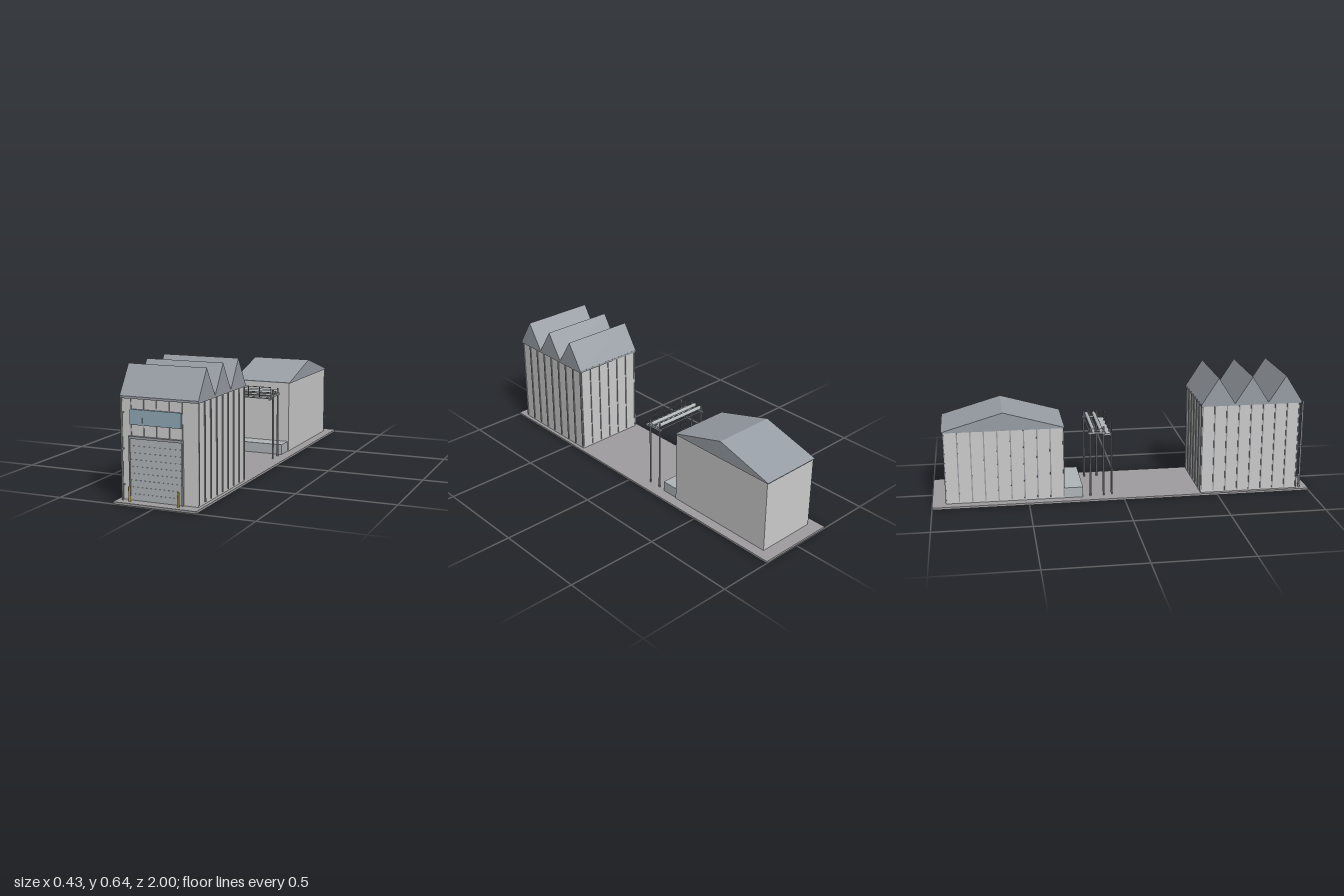
import * as THREE from 'three';

const mat = (color) => new THREE.MeshStandardMaterial({ color, flatShading: true });
const WALL = mat(0xcccccc), ROOF = mat(0x989ea5), METAL = mat(0xb0b6b8), TRIM = mat(0x9a9ca0);
const GROUND = mat(0x9e9c9e), GLASS = mat(0x90a8b4), YELLOW = mat(0xe0b84a);
const G = 0.011; // top of the ground slab

function add(parent, name, geometry, material) {
  const mesh = new THREE.Mesh(geometry, material);
  mesh.name = name;
  parent.add(mesh);
  return mesh;
}

// Box given by its limits on each axis
function box(parent, name, x0, x1, y0, y1, z0, z1, material) {
  const m = add(parent, name, new THREE.BoxGeometry(x1 - x0, y1 - y0, z1 - z0), material);
  m.position.set((x0 + x1) / 2, (y0 + y1) / 2, (z0 + z1) / 2);
  return m;
}

// Round bar between two points
function bar(parent, name, a, b, r, material, sides = 10) {
  const p = new THREE.Vector3(...a), q = new THREE.Vector3(...b);
  const m = add(parent, name, new THREE.CylinderGeometry(r, r, p.distanceTo(q), sides), material);
  m.position.copy(p).add(q).multiplyScalar(0.5);
  m.quaternion.setFromUnitVectors(new THREE.Vector3(0, 1, 0), q.sub(p).normalize());
  return m;
}

// Roof profile of [z, y] points extruded along x
function roof(parent, name, x0, x1, profile) {
  const shape = new THREE.Shape(profile.map(([z, y]) => new THREE.Vector2(-z, y)));
  const geo = new THREE.ExtrudeGeometry(shape, { depth: x1 - x0, bevelEnabled: false });
  geo.rotateY(Math.PI / 2).translate(x0, 0, 0);
  return add(parent, name, geo, ROOF);
}

function group(parent, name) {
  const g = new THREE.Group();
  g.name = name;
  parent.add(g);
  return g;
}

function buildWorkshop(root) {
  const g = group(root, 'workshop');
  const back = 0.41, front = 0.935, top = 0.49;
  box(g, 'workshopWalls', -0.194, 0.194, G, top, back, front, WALL);
  box(g, 'eavesBand', -0.2, 0.2, 0.488, 0.499, 0.404, 0.942, ROOF);

  // Three-ridged roof
  const profile = [[0.404, 0.498]];
  const pitch = (0.942 - 0.404) / 3;
  for (let i = 0; i < 3; i++) {
    profile.push([0.404 + pitch * (i + 0.5), 0.638], [0.404 + pitch * (i + 1), 0.498]);
  }
  roof(g, 'sawRoof', -0.2, 0.2, profile);

  // Wall ribs on both sides, the back and above the door
  for (let i = 0; i <= 8; i++) {
    const z = back + 0.003 + (front - back - 0.006) * i / 8;
    for (const s of [-1, 1]) {
      const x = s * 0.196;
      box(g, 'sideRib', x - 0.003, x + 0.003, 0.02, top, z - 0.003, z + 0.003, TRIM);
    }
  }
  for (let i = 0; i <= 6; i++) {
    const x = -0.19 + 0.38 * i / 6;
    box(g, 'backRib', x - 0.003, x + 0.003, 0.02, top, back - 0.004, back + 0.002, TRIM);
  }
  for (let i = 0; i < 5; i++) {
    const x = -0.145 + 0.0653 * i;
    box(g, 'frontRib', x - 0.002, x + 0.002, 0.31, top, front - 0.002, front + 0.004, TRIM);
  }

  // Window strip of four panes
  for (let i = 0; i < 4; i++) {
    const x = -0.148 + 0.0658 * i;
    box(g, 'windowPane', x, x + 0.0653, 0.368, 0.44, front, front + 0.009, GLASS);
  }

  // Sectional door with frame
  for (let i = 0; i < 9; i++) {
    const y = G + 0.0005 + 0.0324 * i;
    box(g, 'doorPanel', -0.149, 0.115, y, y + 0.0314, front, front + 0.007, METAL);
  }
  box(g, 'doorBacking', -0.149, 0.115, G, 0.304, front, front + 0.005, TRIM);
  box(g, 'doorHeader', -0.155, 0.121, 0.303, 0.315, front, front + 0.014, TRIM);
  box(g, 'doorJamb', -0.155, -0.149, G, 0.303, front, front + 0.012, TRIM);
  box(g, 'doorJamb', 0.115, 0.121, G, 0.303, front, front + 0.012, TRIM);

  // Bollards and downpipe
  for (const x of [-0.143, 0.108]) bar(g, 'bollard', [x, G, 0.967], [x, 0.082, 0.967], 0.0055, YELLOW, 12);
  bar(g, 'downpipe', [-0.185, G, 0.955], [-0.185, 0.494, 0.955], 0.005, METAL);
  for (const y of [0.08, 0.25, 0.42]) box(g, 'pipeBracket', -0.188, -0.182, y, y + 0.005, front, 0.953, TRIM);
}

function buildWarehouse(root) {
  const g = group(root, 'warehouse');
  const back = -0.93, front = -0.312;
  box(g, 'warehouseWalls', -0.165, 0.16, G, 0.4, back, front, WALL);
  roof(g, 'gableRoof', -0.17, 0.165, [[-0.938, 0.396], [-0.938, 0.4], [-0.623, 0.491], [-0.307, 0.4], [-0.307, 0.396]]);
  // Ribs on the right wall only
  for (let i = 0; i <= 9; i++) {
    const z = back + 0.003 + (front - back - 0.006) * i / 9;
    box(g, 'wallRib', -0.169, -0.163, 0.02, 0.398, z - 0.003, z + 0.003, TRIM);
  }
  box(g, 'loadingDock', -0.165, 0.155, G, 0.066, front, -0.215, METAL);
}

function buildPipeBridge(root) {
  const g = group(root, 'pipeBridge');
  const xs = [-0.152, 0.147], zs = [-0.104, -0.174];
  // Portal frames
  for (const x of xs) {
    for (const z of zs) bar(g, 'post', [x, G, z], [x, 0.39, z], 0.005, TRIM);
    box(g, 'crossBeam', x - 0.006, x + 0.006, 0.352, 0.363, -0.184, -0.094, TRIM);
    box(g, 'walkwayBracket', x * 0.95 - 0.004, x * 0.95 + 0.004, 0.338, 0.345, -0.104, -0.065, TRIM);
  }
  for (const z of zs) bar(g, 'longBeam', [xs[0], 0.357, z], [xs[1], 0.357, z], 0.004, TRIM);
  // Pipes resting on the beams
  for (const z of [-0.118, -0.158]) bar(g, 'pipe', [-0.16, 0.373, z], [0.155, 0.373, z], 0.01, METAL, 16);

  // Walkway with railing
  box(g, 'walkway', -0.15, 0.147, 0.345, 0.35, -0.104, -0.066, METAL);
  for (let i = 0; i < 5; i++) {
    const x = -0.112 + 0.0645 * i;
    bar(g, 'railPost', [x, 0.348, -0.07], [x, 0.408, -0.07], 0.002, TRIM, 6);
  }
  for (const y of [0.38, 0.408]) bar(g, 'rail', [-0.114, y, -0.07], [0.148, y, -0.07], 0.002, TRIM, 6);

  // Ladder
  for (const x of [-0.148, -0.115]) bar(g, 'ladderRail', [x, G, -0.06], [x, 0.408, -0.06], 0.003, TRIM, 6);
  for (let y = 0.04; y < 0.36; y += 0.028) bar(g, 'rung', [-0.148, y, -0.06], [-0.115, y, -0.06], 0.002, TRIM, 6);
}

export function createModel() {
  const root = new THREE.Group();
  root.name = 'industrialYard';
  box(root, 'groundSlab', -0.213, 0.213, 0, G, -1, 1, GROUND);
  buildWorkshop(root);
  buildWarehouse(root);
  buildPipeBridge(root);
  return root;
}
